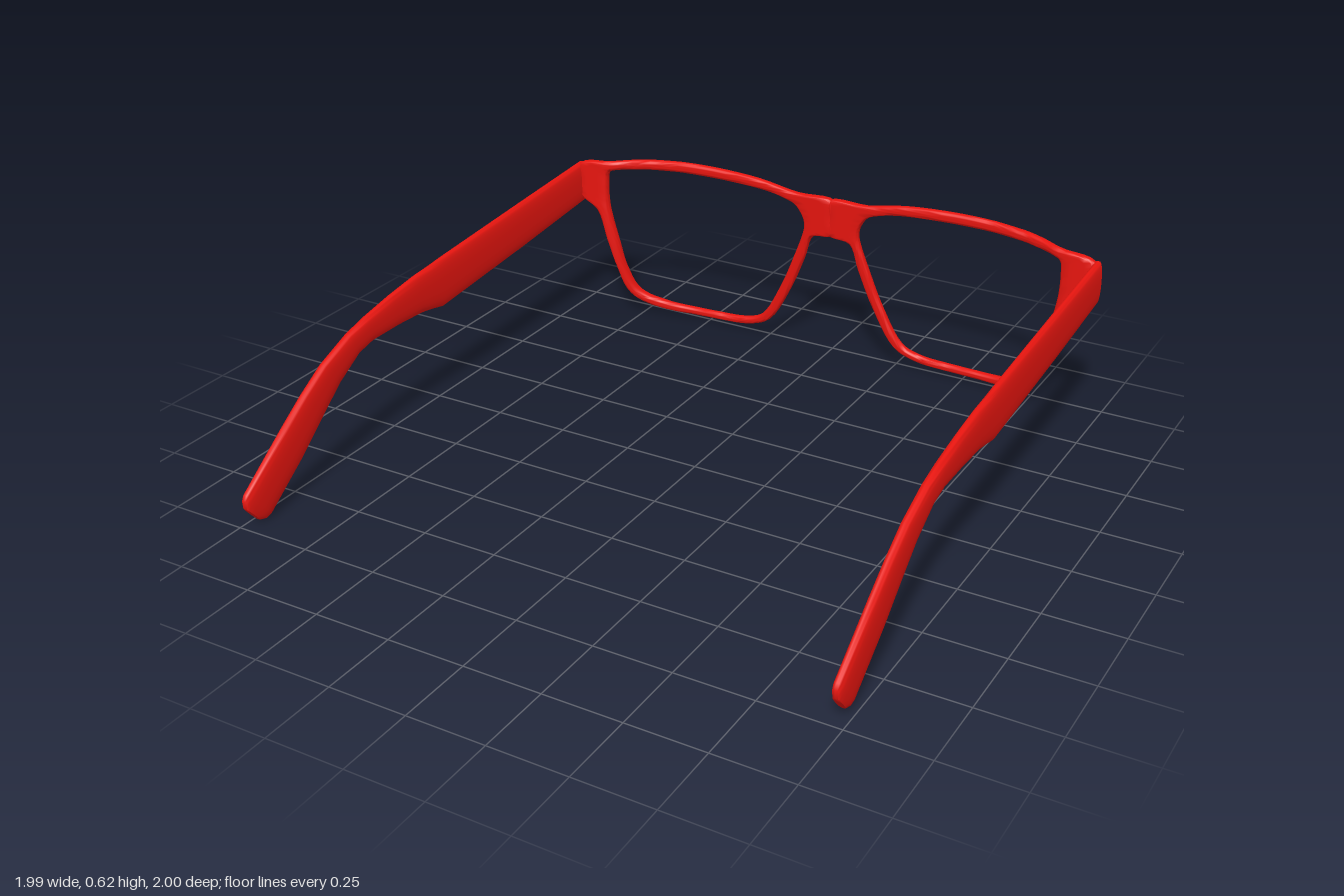
import * as THREE from 'three';
import { toCreasedNormals } from 'three/addons/utils/BufferGeometryUtils.js';

const red = new THREE.MeshStandardMaterial({ color: 0xe8150f });
const { clamp, mapLinear } = THREE.MathUtils;

// piecewise-linear lookup in [key, value] pairs
function lookup(table, t) {
  let i = 1;
  while (i < table.length - 1 && t > table[i][0]) i++;
  const [a, va] = table[i - 1], [b, vb] = table[i];
  return mapLinear(clamp(t, a, b), a, b, va, vb);
}

// skin a list of equal-length point rings, either closed into a loop or capped at both ends
function loft(rings, closed, flip) {
  const n = rings[0].length, count = rings.length, idx = [];
  const tri = (a, b, c) => (flip ? idx.push(a, c, b) : idx.push(a, b, c));
  for (let i = 0; i < (closed ? count : count - 1); i++) {
    const here = i * n, next = ((i + 1) % count) * n;
    for (let j = 0; j < n; j++) {
      const k = (j + 1) % n;
      tri(here + j, here + k, next + k);
      tri(here + j, next + k, next + j);
    }
  }
  if (!closed) {
    const end = (count - 1) * n;
    for (let j = 1; j < n - 1; j++) {
      tri(0, j + 1, j);
      tri(end, end + j, end + j + 1);
    }
  }
  const geo = new THREE.BufferGeometry();
  geo.setAttribute('position', new THREE.Float32BufferAttribute(rings.flat(2), 3));
  geo.setIndex(idx);
  return toCreasedNormals(geo, 1);
}

// Rim stations round one lens: [lens edge x, y, outer edge x, y]
const rimStations = [
  [0.835, 0.566, 0.85, 0.598], [0.852, 0.557, 0.968, 0.578], [0.858, 0.51, 0.972, 0.525],
  [0.857, 0.46, 0.968, 0.458], [0.852, 0.415, 0.9, 0.41], [0.825, 0.29, 0.862, 0.3],
  [0.8, 0.18, 0.832, 0.195], [0.76, 0.097, 0.79, 0.085], [0.68, 0.061, 0.71, 0.035],
  [0.47, 0.05, 0.47, 0.024], [0.34, 0.059, 0.325, 0.034], [0.275, 0.086, 0.245, 0.07],
  [0.2, 0.21, 0.16, 0.21], [0.145, 0.34, 0.105, 0.34], [0.107, 0.445, 0.07, 0.432],
  [0.104, 0.468, -0.01, 0.45], [0.108, 0.495, -0.01, 0.515], [0.138, 0.54, -0.01, 0.578],
  [0.18, 0.557, 0.13, 0.584], [0.27, 0.573, 0.28, 0.609], [0.5, 0.581, 0.5, 0.619],
  [0.66, 0.578, 0.66, 0.614], [0.76, 0.572, 0.77, 0.606],
];
// wrap of the frame: z along x
const wrap = [[0, -0.958], [0.45, -0.96], [0.6, -0.954], [0.72, -0.936], [0.78, -0.915],
  [0.83, -0.89], [0.88, -0.877], [1, -0.875]];

// the lower rim wraps a little sooner, and the lens plane leans back towards the bottom
function frameZ(x, y) {
  const sooner = 0.03 * clamp((0.45 - y) / 0.3, 0, 1);
  const lean = -0.026 * clamp((0.6 - y) / 0.57, 0, 1) * clamp((0.86 - x) / 0.06, 0, 1);
  return lookup(wrap, Math.abs(x) + sooner) + lean;
}

// rounded-rectangle section of half width w and half thickness h, with extra points on the wide faces
function rimSection(w, h) {
  const r = Math.min(w, h) * 0.8, pts = [];
  for (let q = 0; q < 4; q++) {
    const su = q === 0 || q === 3 ? 1 : -1, sv = q < 2 ? 1 : -1;
    for (let k = 0; k <= 4; k++) {
      const a = (q + k / 4) * Math.PI / 2;
      pts.push([su * (w - r) + r * Math.cos(a), sv * (h - r) + r * Math.sin(a)]);
    }
    if (q % 2 === 0) for (const f of [0.5, 0, -0.5]) pts.push([su * f * (w - r), sv * h]);
  }
  return pts;
}

function rim(side) {
  const edge = (k) => new THREE.CatmullRomCurve3(
    rimStations.map((s) => new THREE.Vector3(s[k], s[k + 1], 0)), true);
  const inner = edge(0), outer = edge(2), rings = [], steps = rimStations.length * 5;
  for (let i = 0; i < steps; i++) {
    const a = inner.getPoint(i / steps), b = outer.getPoint(i / steps);
    const mid = a.clone().lerp(b, 0.5), dir = b.clone().sub(a);
    const w = dir.length() / 2;
    dir.normalize();
    const h = lookup([[0.6, 0.0145], [0.75, 0.018], [0.9, 0.015]], mid.x);
    rings.push(rimSection(w, h).map(([u, v]) => {
      const x = mid.x + dir.x * u, y = mid.y + dir.y * u;
      return [side * x, y, frameZ(x, y) + v];
    }));
  }
  const mesh = new THREE.Mesh(loft(rings, true, side < 0), red);
  mesh.name = side > 0 ? 'leftRim' : 'rightRim';
  return mesh;
}

// Temple arm: stations of [top z, top y, bottom z, bottom y, thickness]
const armStations = [
  [-0.888, 0.578, -0.888, 0.428, 0.034], [-0.5, 0.55, -0.5, 0.389, 0.036], [-0.03, 0.515, -0.01, 0.345, 0.036],
  [0.04, 0.508, 0.04, 0.356, 0.036], [0.12, 0.502, 0.1, 0.366, 0.036], [0.25, 0.484, 0.22, 0.372, 0.036],
  [0.38, 0.46, 0.36, 0.372, 0.036], [0.47, 0.437, 0.43, 0.357, 0.036], [0.6, 0.387, 0.53, 0.298, 0.036],
  [0.7, 0.328, 0.62, 0.225, 0.036], [0.8, 0.26, 0.73, 0.132, 0.036], [0.99, 0.122, 0.895, 0.013, 0.036],
  [0.999, 0.105, 0.917, 0.008, 0.033], [0.998, 0.08, 0.945, 0.016, 0.024],
];

function arm(side) {
  const n = 28;
  const power = (v, e) => Math.sign(v) * Math.abs(v) ** e;
  const rings = armStations.map(([tz, ty, bz, by, w]) => Array.from({ length: n }, (_, j) => {
    const a = (j / n) * Math.PI * 2;
    const t = (power(Math.sin(a), 0.85) + 1) / 2;
    return [side * 0.974 + power(Math.cos(a), 0.65) * w / 2, by + (ty - by) * t, bz + (tz - bz) * t];
  }));
  const mesh = new THREE.Mesh(loft(rings, false, false), red);
  mesh.name = side > 0 ? 'leftArm' : 'rightArm';
  return mesh;
}

export function createModel() {
  const model = new THREE.Group();
  model.name = 'glasses';
  for (const side of [1, -1]) model.add(rim(side), arm(side));
  // slight roll: the left side sits a touch higher
  model.rotation.z = 0.0075;
  return model;
}
